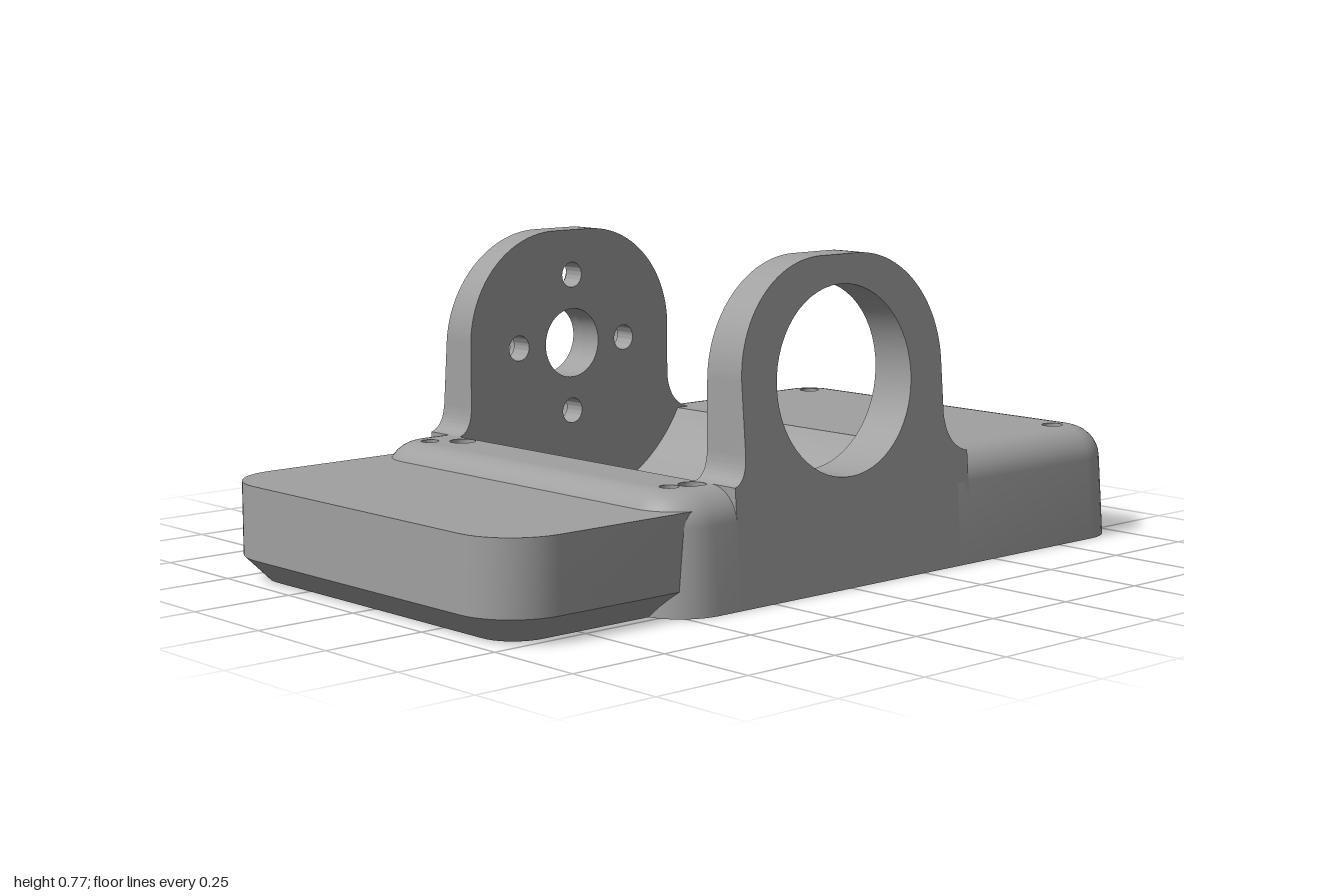
import * as THREE from 'three';
import { mergeGeometries, toCreasedNormals } from 'three/addons/utils/BufferGeometryUtils.js';

const CX = 0.0125, AXIS_Y = 0.48, TOP = 0.275;
const TROUGH_L = -0.355, TROUGH_R = 0.38, BACK_IN = -0.435, FRONT_IN = 0.42;
// half depth of the drafted outer walls at height y
const wallZ = (y) => 0.573 - 0.082 * y;

// plain position-only triangles, so pieces can be merged
function bare(g) {
  const n = g.index ? g.toNonIndexed() : g;
  const out = new THREE.BufferGeometry();
  out.setAttribute('position', n.getAttribute('position'));
  return out;
}
const circle = (x, y, r) => new THREE.Path().absarc(x, y, r, 0, Math.PI * 2, true);

// plan outline: square at u0, rounded corners at u1
function outline(u0, u1, h, r) {
  const pts = [new THREE.Vector2(u0, -h)];
  for (const s of [-1, 1]) {
    for (let i = 0; i <= 10; i++) {
      const a = (i / 10) * Math.PI / 2 + (s < 0 ? -Math.PI / 2 : 0);
      pts.push(new THREE.Vector2(u1 - r + r * Math.cos(a), s * (h - r) + r * Math.sin(a)));
    }
  }
  pts.push(new THREE.Vector2(u0, h));
  return pts;
}

// block lofted through levels {y, h, inset}, with vertical drilled holes {x, z, r, floor}
function block(u0, u1, radius, levels, holes = []) {
  const rings = levels.map((l) => outline(u0, u1 - l.inset, l.h - l.inset, radius - l.inset));
  const n = rings[0].length, pos = [], idx = [];
  rings.forEach((ring, k) => ring.forEach((p) => pos.push(p.x, levels[k].y, -p.y)));
  for (let k = 0; k < rings.length - 1; k++) {
    for (let i = 0; i < n; i++) {
      const a = k * n + i, b = k * n + (i + 1) % n;
      idx.push(a, b, b + n, a, b + n, a + n);
    }
  }
  const side = new THREE.BufferGeometry();
  side.setAttribute('position', new THREE.Float32BufferAttribute(pos, 3));
  side.setIndex(idx);
  const parts = [bare(side)];

  const cap = (ring, y, up) => {
    const s = new THREE.Shape(ring);
    for (const h of holes) {
      if (up || h.floor === undefined) s.holes.push(circle(h.x, up ? -h.z : h.z, h.r));
    }
    parts.push(bare(new THREE.ShapeGeometry(s, 24).rotateX(up ? -Math.PI / 2 : Math.PI / 2).translate(0, y, 0)));
  };
  const yTop = levels[levels.length - 1].y;
  cap(rings[0], levels[0].y, false);
  cap(rings[rings.length - 1], yTop, true);

  // inward-facing hole walls and blind floors
  for (const h of holes) {
    const y0 = h.floor ?? 0;
    const bore = new THREE.CylinderGeometry(h.r, h.r, yTop - y0, 24, 1, true).scale(-1, 1, 1);
    parts.push(bare(bore.translate(h.x, (y0 + yTop) / 2, h.z)));
    if (h.floor !== undefined) {
      parts.push(bare(new THREE.CircleGeometry(h.r, 24).rotateX(-Math.PI / 2).translate(h.x, y0, h.z)));
    }
  }
  return toCreasedNormals(mergeGeometries(parts), 0.5);
}

// extrude a front-plane shape between two depth rules z0(y) < z1(y)
function slab(shape, z0, z1) {
  const g = bare(new THREE.ExtrudeGeometry(shape, { depth: 1, bevelEnabled: false, curveSegments: 28 }));
  const p = g.getAttribute('position');
  for (let i = 0; i < p.count; i++) {
    const y = p.getY(i);
    p.setZ(i, THREE.MathUtils.lerp(z0(y), z1(y), p.getZ(i)));
  }
  return toCreasedNormals(g, 0.5);
}

// upright bearing ear with fillets running into the base
function earShape(holes) {
  const l = CX - 0.33, r = CX + 0.33, rad = 0.27, top = 0.77;
  const s = new THREE.Shape();
  s.moveTo(TROUGH_L, 0);
  s.lineTo(0.42, 0);
  s.lineTo(0.42, TOP);
  s.quadraticCurveTo(r + 0.008, TOP + 0.015, r, 0.37);
  s.lineTo(r, top - rad);
  s.absarc(r - rad, top - rad, rad, 0, Math.PI / 2, false);
  s.absarc(l + rad, top - rad, rad, Math.PI / 2, Math.PI, false);
  s.lineTo(l, 0.35);
  s.quadraticCurveTo(l, 0.285, TROUGH_L, TOP);
  s.closePath();
  s.holes.push(...holes);
  return s;
}

export function createModel() {
  const group = new THREE.Group();
  const grey = new THREE.MeshStandardMaterial({ color: 0xa0a0a0 });
  grey.name = 'grey';
  const add = (name, geometry, turned = false) => {
    const mesh = new THREE.Mesh(geometry, grey);
    mesh.name = name;
    if (turned) mesh.rotation.y = Math.PI;
    group.add(mesh);
  };

  // base blocks with drafted sides and a rounded top edge
  const round = 0.075;
  const levels = [{ y: 0, h: wallZ(0), inset: 0 }];
  for (let i = 0; i <= 8; i++) {
    const a = (i / 8) * Math.PI / 2, y = TOP - round + round * Math.sin(a);
    levels.push({ y, h: wallZ(y), inset: round * (1 - Math.cos(a)) });
  }
  add('leftBase', block(TROUGH_R, 1, 0.125, levels, [
    { x: 0.88, z: 0.435, r: 0.026 }, { x: 0.88, z: -0.435, r: 0.026 },
  ]));
  add('rightBase', block(-TROUGH_L, 0.55, 0.125, levels, [
    { x: 0.39, z: -0.448, r: 0.032 }, { x: 0.39, z: 0.38, r: 0.032 },
    { x: 0.448, z: 0.435, r: 0.022, floor: 0.237 }, { x: 0.448, z: -0.435, r: 0.022, floor: 0.237 },
  ]), true);

  // side plate with a chamfered underside
  add('sidePlate', block(0.45, 1, 0.15, [
    { y: 0, h: 0.535, inset: 0.06 }, { y: 0.06, h: 0.535, inset: 0 }, { y: 0.235, h: 0.535, inset: 0 },
  ]), true);

  // round-bottomed trough between the ears
  const dx = TROUGH_R - CX, dy = TOP - AXIS_Y, a0 = Math.atan2(dy, dx);
  const trough = new THREE.Shape();
  trough.moveTo(TROUGH_L, 0);
  trough.lineTo(TROUGH_R, 0);
  trough.absarc(CX, AXIS_Y, Math.hypot(dx, dy), a0, -Math.PI - a0, true);
  trough.closePath();
  add('trough', slab(trough, () => BACK_IN, () => FRONT_IN));

  // front ear with one wide bore
  add('frontEar', slab(earShape([circle(CX, AXIS_Y, 0.222)]), () => FRONT_IN, wallZ));

  // back ear with a shaft hole and four counterbored screw holes
  const screwHoles = (r) => [circle(CX, AXIS_Y, 0.088)].concat([0, 1, 2, 3].map((i) => {
    const a = i * Math.PI / 2;
    return circle(CX + 0.175 * Math.cos(a), AXIS_Y + 0.175 * Math.sin(a), r);
  }));
  const step = -0.495;
  add('backEar', slab(earShape(screwHoles(0.032)), () => step, () => BACK_IN));
  add('backEarCounterbores', slab(earShape(screwHoles(0.052)), (y) => -wallZ(y), () => step));

  return group;
}
